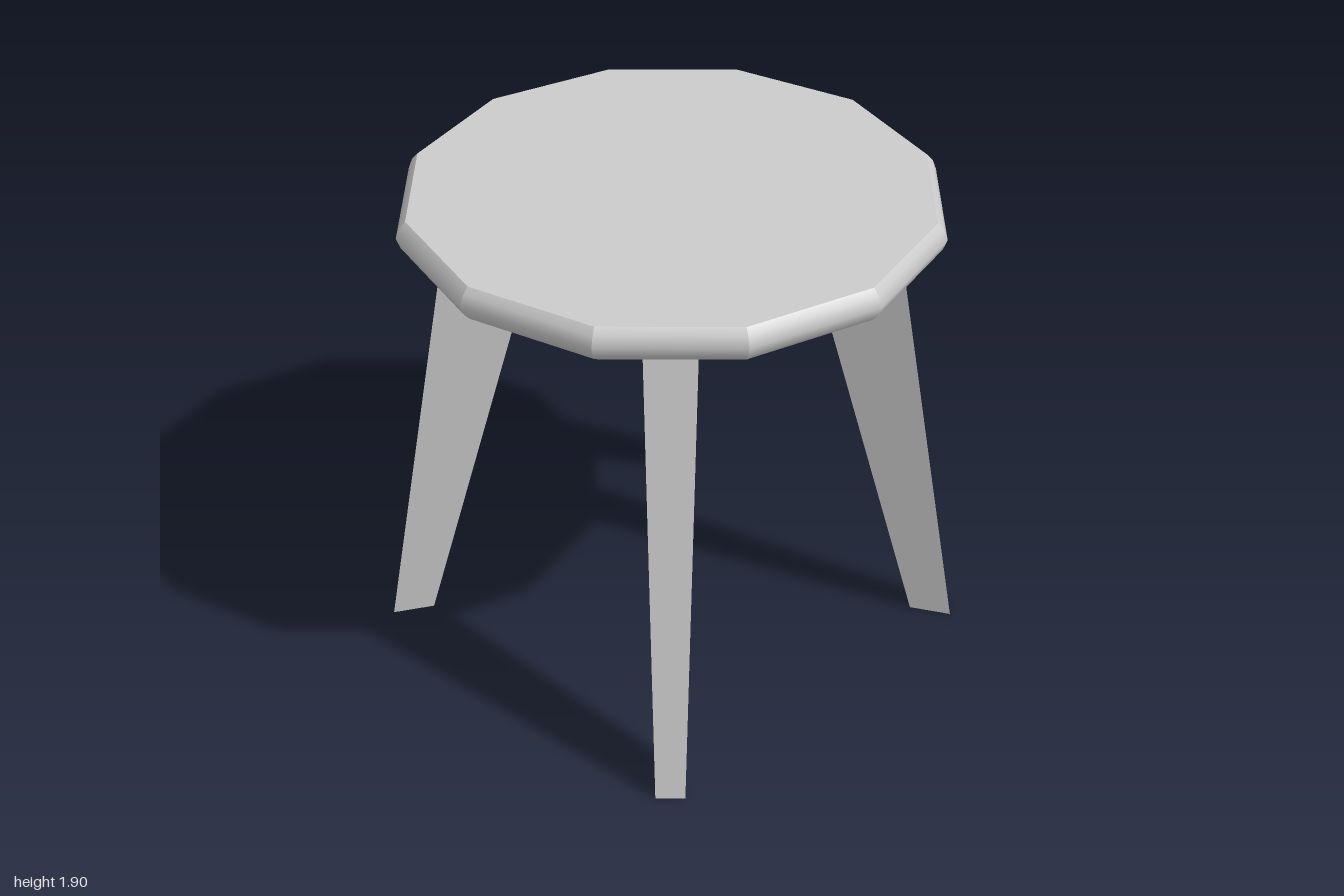
import * as THREE from 'three';
import { mergeGeometries } from 'three/addons/utils/BufferGeometryUtils.js';
import { ConvexGeometry } from 'three/addons/geometries/ConvexGeometry.js';

const SIDES = 12;
const SEAT_BOTTOM = 1.778, SEAT_TOP = 1.905, SEAT_RADIUS = 0.963;

// Twelve-sided seat: rim rounded from bottom to top, but flat along each side
function seatGeometry() {
  const mid = (SEAT_BOTTOM + SEAT_TOP) / 2;
  const profile = [
    [SEAT_RADIUS, SEAT_BOTTOM], [0.985, SEAT_BOTTOM + 0.024], [1, mid],
    [0.985, SEAT_TOP - 0.024], [SEAT_RADIUS, SEAT_TOP],
  ].map(([r, y]) => new THREE.Vector2(r, y));

  const step = (Math.PI * 2) / SIDES;
  const parts = [];
  for (let i = 0; i < SIDES; i++) {
    const side = new THREE.LatheGeometry(profile, 1, i * step, step);
    const angle = (i + 0.5) * step;
    const normal = side.attributes.normal;
    for (let k = 0; k < normal.count; k++) {
      const out = Math.hypot(normal.getX(k), normal.getZ(k));
      normal.setXYZ(k, out * Math.sin(angle), normal.getY(k), out * Math.cos(angle));
    }
    parts.push(side);
  }
  // Flat top and underside
  parts.push(new THREE.CircleGeometry(SEAT_RADIUS, SIDES).rotateX(-Math.PI / 2).translate(0, SEAT_TOP, 0));
  parts.push(new THREE.CircleGeometry(SEAT_RADIUS, SIDES).rotateX(Math.PI / 2).translate(0, SEAT_BOTTOM, 0));
  return mergeGeometries(parts);
}

// Triangular tapering leg: a flat outer face and a ridge towards the centre.
// Each end is given as [near corner, far corner, ridge] along the diagonal.
function legGeometry(sx, sz, top, bottom) {
  const triangle = ([near, far, ridge], y) => [
    new THREE.Vector3(sx * near, y, sz * far),
    new THREE.Vector3(sx * far, y, sz * near),
    new THREE.Vector3(sx * ridge, y, sz * ridge),
  ];
  return new ConvexGeometry([...triangle(top, SEAT_BOTTOM), ...triangle(bottom, 0)]);
}

export function createModel() {
  const stool = new THREE.Group();
  stool.name = 'stool';
  const material = new THREE.MeshStandardMaterial({ color: 0xcccccc });

  const add = (name, geometry) => {
    const mesh = new THREE.Mesh(geometry, material);
    mesh.name = name;
    stool.add(mesh);
  };

  add('seat', seatGeometry());

  // Four splayed legs; the front left one has a slightly larger foot
  const top = [0.505, 0.64, 0.325];
  const foot = [0.75, 0.81, 0.67], largeFoot = [0.75, 0.827, 0.645];
  for (const sz of [1, -1]) {
    for (const sx of [1, -1]) {
      const name = (sz > 0 ? 'front' : 'back') + (sx > 0 ? 'Left' : 'Right') + 'Leg';
      add(name, legGeometry(sx, sz, top, sx > 0 && sz > 0 ? largeFoot : foot));
    }
  }
  return stool;
}
